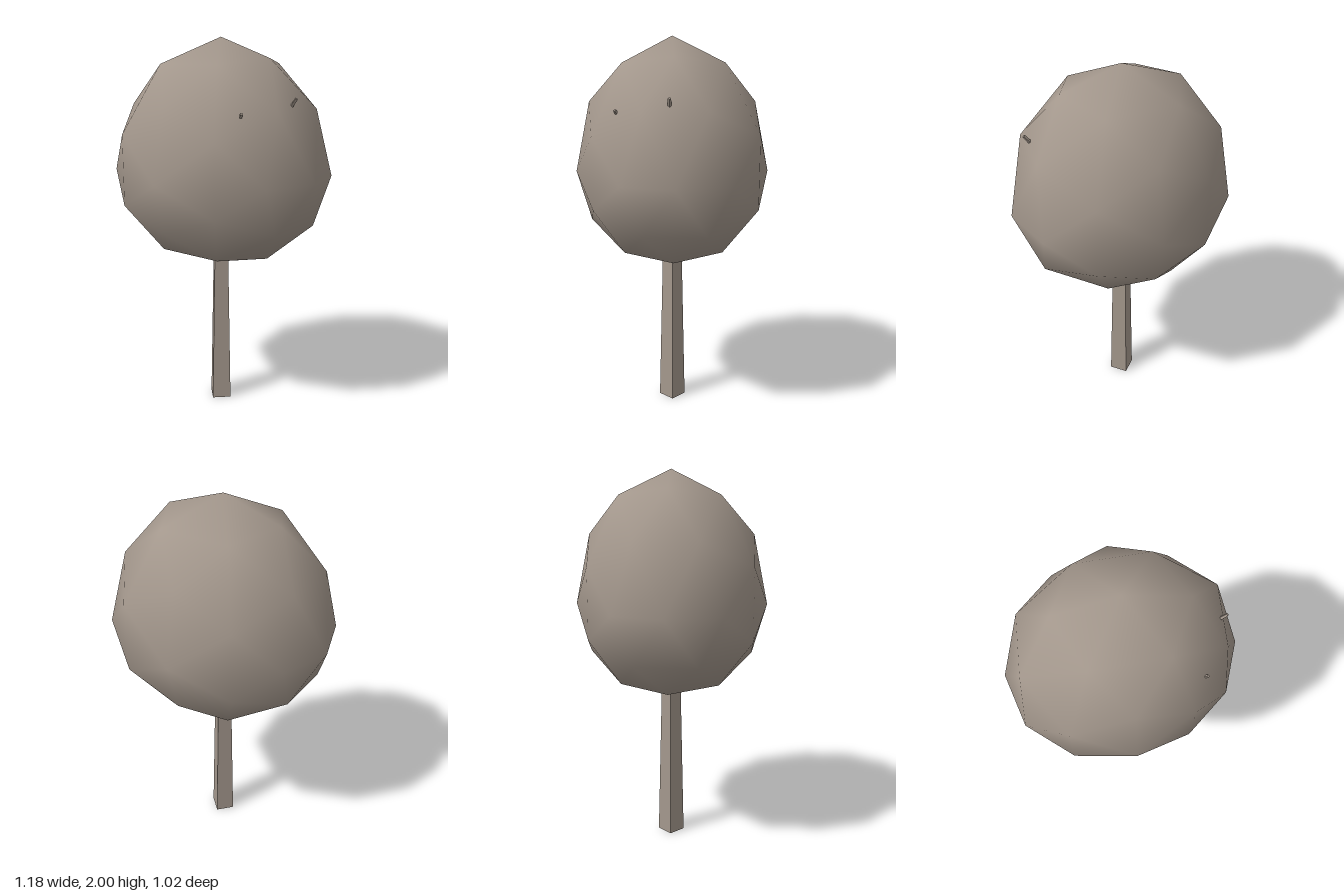
import * as THREE from 'three';
import { mergeVertices } from 'three/addons/utils/BufferGeometryUtils.js';

export function createModel() {
  const tree = new THREE.Group();
  tree.name = 'tree';
  const taupe = new THREE.MeshStandardMaterial({ color: 0xa3978c });
  taupe.name = 'taupe';

  const add = (name, geometry) => {
    const mesh = new THREE.Mesh(geometry, taupe);
    mesh.name = name;
    tree.add(mesh);
    return mesh;
  };

  // Crown: subdivided icosahedron, taller above its middle than below
  let crown = new THREE.IcosahedronGeometry(1, 1);
  crown.deleteAttribute('uv');
  crown.deleteAttribute('normal');
  crown = mergeVertices(crown, 1e-3);
  const p = crown.attributes.position;
  for (let i = 0; i < p.count; i++) {
    const x = p.getX(i), y = p.getY(i), z = p.getZ(i);
    const s = 1 - 0.065 * x * z; // slight unevenness
    p.setXYZ(i, 0.59 * x * s, 1.3 + y * (y > 0 ? 0.7 : 0.5), 0.512 * z * s);
  }
  crown.computeVertexNormals();
  add('crown', crown);

  // Trunk: tapered four-sided post with its edges on the axes
  const trunk = new THREE.CylinderGeometry(0.046, 0.071, 1.1, 4).toNonIndexed();
  trunk.computeVertexNormals();
  add('trunk', trunk).position.y = 0.55;

  // Branches: run through the crown, with their tips poking out
  const start = new THREE.Vector3(0, 1.07, 0);
  const up = new THREE.Vector3(0, 1, 0);
  const tips = [[0.485, 1.71, 0.025], [0.352, 1.648, 0.283], [0.122, 1.565, -0.43]];
  tips.forEach((tip, i) => {
    const end = new THREE.Vector3(...tip);
    const along = end.clone().sub(start);
    const geometry = new THREE.CylinderGeometry(0.008, 0.025, along.length(), 4).toNonIndexed();
    geometry.computeVertexNormals();
    const branch = add(`branch${i + 1}`, geometry);
    branch.position.copy(start).add(end).multiplyScalar(0.5);
    branch.quaternion.setFromUnitVectors(up, along.normalize());
  });

  return tree;
}
